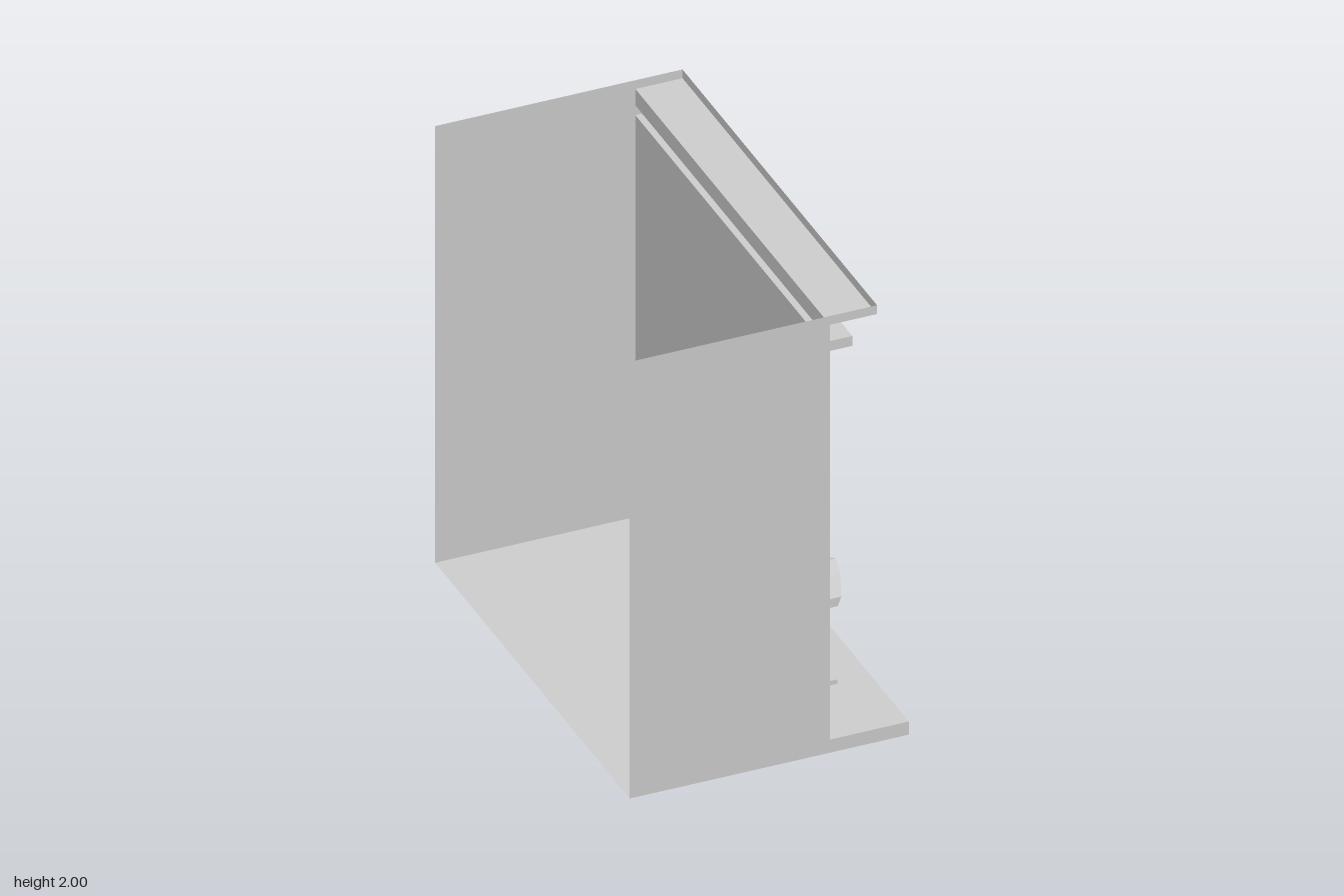
import * as THREE from 'three';

const material = new THREE.MeshStandardMaterial({ color: 0xcccccc, flatShading: true, side: THREE.DoubleSide });
const WALL = 0.255, HALF = 0.95;

// Sheet of quads spanned between consecutive rows of points
function loft(name, rows) {
  const pos = [];
  for (let i = 0; i + 1 < rows.length; i++) {
    for (let j = 0; j + 1 < rows[i].length; j++) {
      const a = rows[i][j], b = rows[i][j + 1], c = rows[i + 1][j + 1], d = rows[i + 1][j];
      pos.push(...a, ...b, ...c, ...a, ...c, ...d);
    }
  }
  const geo = new THREE.BufferGeometry();
  geo.setAttribute('position', new THREE.Float32BufferAttribute(pos, 3));
  geo.computeVertexNormals();
  return named(name, geo);
}

function named(name, geo) {
  const mesh = new THREE.Mesh(geo, material);
  mesh.name = name;
  return mesh;
}

const toShape = pts => new THREE.Shape(pts.map(p => new THREE.Vector2(...p)));

// Flat panel from [z, y] points, standing at a given x and facing +x
function panel(name, pts, x, holes = []) {
  const shape = toShape(pts.map(([z, y]) => [-z, y]));
  shape.holes = holes.map(h => toShape(h.map(([z, y]) => [-z, y])));
  const geo = new THREE.ShapeGeometry(shape);
  geo.rotateY(Math.PI / 2).translate(x, 0, 0);
  return named(name, geo);
}

// Half arch [dz, y] mirrored into a full arch around z
const fullArch = (half, z) => [
  ...half.map(([d, y]) => [z - d, y]),
  ...half.slice(0, -1).reverse().map(([d, y]) => [z + d, y]),
];

const door = {
  name: 'door', z: 0, bottom: 0.06, back: 0.175,
  outer: [[0.268, 0.83], [0.168, 0.935], [0, 1.0]],
  inner: [[0.268, 0.785], [0.168, 0.895], [0, 0.96]],
  front: () => 0.32,
};
const windowAt = (name, z) => ({
  name, z, bottom: 0.255, back: 0.205,
  outer: [[0.135, 0.63], [0.07, 0.692], [0, 0.72]],
  inner: [[0.135, 0.59], [0.07, 0.655], [0, 0.68]],
  front: y => 0.335 + (y - 0.59) * 0.385, // hood leans outwards with height
});
const openings = [door, windowAt('leftWindow', -0.707), windowAt('rightWindow', 0.707)];

// Closed outline of an opening
function outline(o) {
  const arch = fullArch(o.inner, o.z), d = o.inner[0][0];
  return [[o.z - d, o.bottom], ...arch, [o.z + d, o.bottom]];
}

// Recess lining, back panel and projecting hood of one opening
function makeOpening(o) {
  const group = new THREE.Group();
  group.name = o.name;
  const pts = outline(o), loop = [...pts, pts[0]];
  group.add(loft('recessLining', [WALL, o.back].map(x => loop.map(([z, y]) => [x, y, z]))));
  group.add(panel('recessBack', pts, o.back));

  const outer = fullArch(o.outer, o.z), inner = fullArch(o.inner, o.z);
  const rings = outer.map(([z, y], i) => {
    const [zi, yi] = inner[i];
    return [[WALL, y, z], [o.front(y), y, z], [o.front(yi), yi, zi], [WALL, yi, zi]];
  });
  group.add(loft('hood', rings));
  for (const r of [rings[0], rings[rings.length - 1]]) {
    group.add(loft('hoodEnd', [[r[0], r[1]], [r[3], r[2]]]));
  }
  return group;
}

export function createModel() {
  const model = new THREE.Group();
  model.name = 'buildingFacade';

  // Side profile in x, y: floor, step, wall, lower moulding, cornice
  const profile = [
    [-0.595, 0], [0.59, 0], [0.59, 0.06], [WALL, 0.06],
    [WALL, 1.84], [0.35, 1.84], [0.35, 1.885], [WALL, 1.885],
    [WALL, 1.96], [0.455, 1.96], [0.455, 2], [-0.595, 2],
  ];
  const strip = (name, from, to) => model.add(loft(name,
    [-HALF, HALF].map(z => profile.slice(from, to + 1).map(([x, y]) => [x, y, z]))));
  strip('floorAndStep', 0, 3);
  strip('lowerMoulding', 4, 7);
  strip('frieze', 7, 8);
  strip('cornice', 8, 10);

  // Side walls, thin sheets that also close the ends of the mouldings
  for (const [name, z] of [['frontSideWall', HALF], ['backSideWall', -HALF]]) {
    const wall = named(name, new THREE.ShapeGeometry(toShape(profile)));
    wall.position.z = z;
    model.add(wall);
  }

  // Facade: the doorway notches its lower edge, the windows are holes
  const edge = [[-HALF, 0.06], ...outline(door), [HALF, 0.06], [HALF, 1.84], [-HALF, 1.84]];
  model.add(panel('facade', edge, WALL, openings.slice(1).map(outline)));

  for (const o of openings) {
    model.add(makeOpening(o));
    if (o === door) continue;
    const sill = named('windowSill', new THREE.BoxGeometry(0.08, 0.02, 0.27));
    sill.position.set(WALL + 0.04, 0.245, o.z);
    model.add(sill);
  }
  return model;
}
